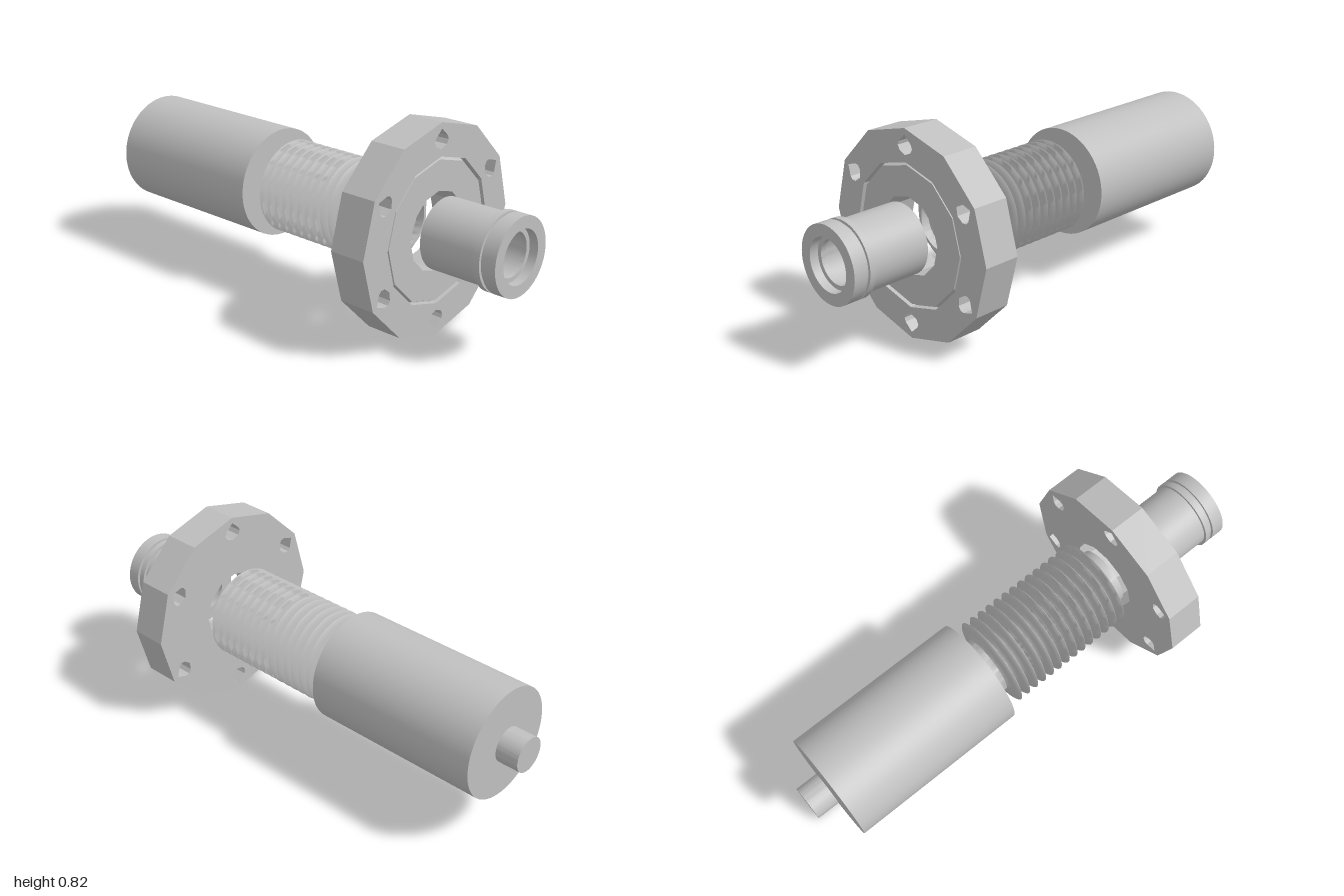
import * as THREE from 'three';
import { toCreasedNormals } from 'three/addons/utils/BufferGeometryUtils.js';

const AXIS_Y = 0.4125;

export function createModel() {
  const group = new THREE.Group();
  const metal = new THREE.MeshStandardMaterial({ color: 0xc0c0c0 });
  metal.name = 'grey metal';

  function add(name, geometry, crease) {
    const mesh = new THREE.Mesh(toCreasedNormals(geometry, crease), metal);
    mesh.name = name;
    mesh.position.y = AXIS_Y;
    group.add(mesh);
  }

  // Revolves [radius, x] points around the x axis; outer wall runs towards +x
  function turned(name, profile, segments = 64, crease = 0.5) {
    const points = profile.map(([r, x]) => new THREE.Vector2(r, x));
    add(name, new THREE.LatheGeometry(points, segments).rotateZ(-Math.PI / 2), crease);
  }

  // Rear rod and main housing
  turned('rearRod', [[0, -1], [0.07, -1], [0.07, -0.907], [0, -0.907]]);
  turned('housing', [[0, -0.9], [0.222, -0.9], [0.222, -0.165], [0, -0.165]]);

  // Blunt cone inside the bellows
  turned('innerCone', [[0, -0.16], [0.095, -0.16], [0.017, -0.06], [0, -0.06]]);

  // Bellows: rounded convolutions between two plain cuffs, with a matching inner wall
  const folds = 14, steps = 10, start = -0.12, end = 0.45;
  const outer = [], inner = [];
  for (let i = 0; i <= folds * steps; i++) {
    const x = start + (end - start) * i / (folds * steps);
    const wave = (1 - Math.cos(2 * Math.PI * i / steps)) / 2;
    outer.push([0.122 + 0.067 * wave, x]);
    inner.push([0.112 + 0.067 * wave, x]);
  }
  turned('bellows', [
    [0.108, -0.155], [0.12, -0.155], [0.12, start], ...outer, [0.12, end], [0.12, 0.485],
    [0.108, 0.485], [0.108, end], ...inner.reverse(), [0.108, start], [0.108, -0.155],
  ], 64, 1.2);

  // Twelve-sided flange ring with six bolt holes
  const polygon = (path, radius) => {
    for (let i = 0; i < 12; i++) {
      const a = i * Math.PI / 6;
      path[i ? 'lineTo' : 'moveTo'](radius * Math.cos(a), radius * Math.sin(a));
    }
    path.closePath();
    return path;
  };
  const ring = polygon(new THREE.Shape(), 0.4125);
  ring.holes.push(polygon(new THREE.Path(), 0.285));
  const bolt = [[0.388, 0], [0.357, 0.034], [0.342, 0.039], [0.325, 0.03], [0.312, 0],
    [0.325, -0.03], [0.342, -0.039], [0.357, -0.034]];
  for (let i = 0; i < 6; i++) {
    const turn = Math.PI / 2 + i * Math.PI / 3;
    ring.holes.push(new THREE.Path(bolt.map(([x, y]) =>
      new THREE.Vector2(x, y).rotateAround(new THREE.Vector2(), turn))));
  }
  const ringGeometry = new THREE.ExtrudeGeometry(ring, { depth: 0.15, bevelEnabled: false });
  add('flangeRing', ringGeometry.rotateY(Math.PI / 2).translate(0.49, 0, 0), 0.3);

  // Flange centre with sealing groove and opening
  turned('flangeCentre', [[0.154, 0.49], [0.285, 0.49], [0.285, 0.615], [0.281, 0.615],
    [0.273, 0.635], [0.154, 0.635], [0.154, 0.49]], 12, 0.3);

  // Front sleeve with collar, groove and stepped bore
  turned('frontSleeve', [
    [0.085, 0.665], [0.138, 0.665], [0.138, 0.908], [0.15, 0.908], [0.15, 0.933],
    [0.139, 0.933], [0.139, 0.945], [0.15, 0.945], [0.15, 1], [0.103, 1], [0.103, 0.965],
    [0.085, 0.965], [0.085, 0.945], [0.095, 0.945], [0.095, 0.68], [0.085, 0.68], [0.085, 0.665],
  ]);

  return group;
}
